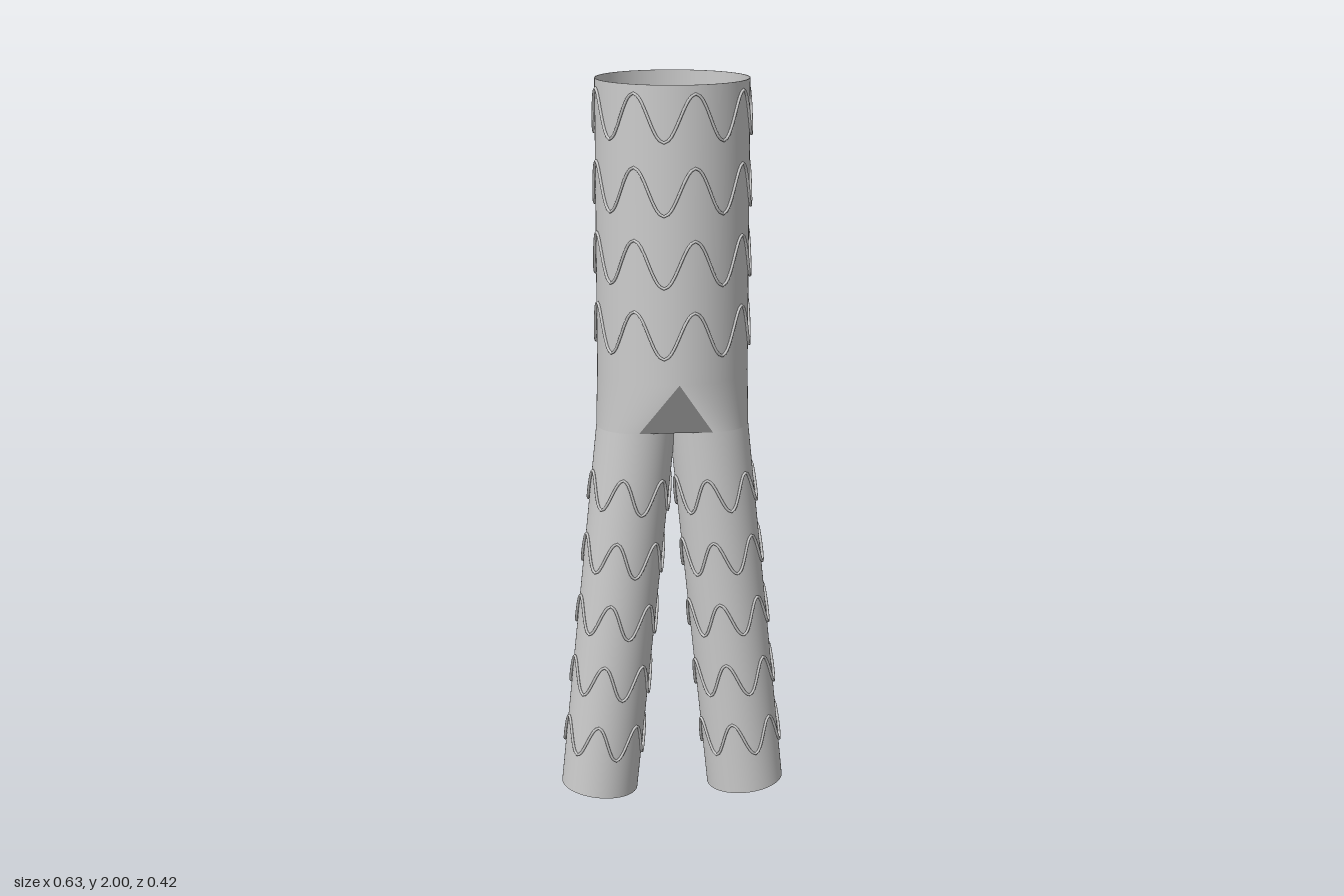
import * as THREE from 'three';

const R = 0.203, r = 0.1075;           // trunk and leg radii
const WALL = 0.003;                    // fabric thickness shown at the open rims
const TOP = 2, SHOULDER = 1.225, CROTCH = 1.07;
const HIP = 0.099, FOOT = 0.208;       // leg axis x at crotch and at foot
const FOOT_Y = 0.011;
const tilt = Math.atan2(FOOT - HIP, CROTCH - FOOT_Y);
const cosT = Math.cos(tilt), sinT = Math.sin(tilt);

// Surface between two rows of points
function loft(rowA, rowB, closed = false) {
  const n = rowA.length, index = [];
  for (let i = 0; i < (closed ? n : n - 1); i++) {
    const j = (i + 1) % n;
    index.push(i, j, n + i, j, n + j, n + i);
  }
  const g = new THREE.BufferGeometry().setFromPoints([...rowA, ...rowB]);
  g.setIndex(index);
  g.computeVertexNormals();
  return g;
}

// Point of the leg section in the horizontal crotch plane (side = 1 left, -1 right)
const hip = (a, side) =>
  new THREE.Vector3(side * (HIP + r / cosT * Math.cos(a)), CROTCH, r * Math.sin(a));

// Half cone from the trunk down to the leg, its normals blending into both
function shoulderGeometry(side) {
  const upper = [], lower = [], normals = [];
  for (let i = 0; i <= 48; i++) {
    const a = (i / 48 - 0.5) * Math.PI;
    upper.push(new THREE.Vector3(side * R * Math.cos(a), SHOULDER, R * Math.sin(a)));
    lower.push(hip(a, side));
    normals.push(Math.cos(a), 0, side * Math.sin(a));
  }
  const g = loft(upper, lower);
  g.setAttribute('normal', new THREE.Float32BufferAttribute([...normals, ...normals], 3));
  return g;
}

// Leg tube: square cut at the foot, trimmed on top by the crotch plane and the other leg
function legGeometry(side) {
  const top = [], foot = [], n = 96;
  for (let i = 0; i < n; i++) {
    const a = i / n * Math.PI * 2, c = r * Math.cos(a);
    const f = new THREE.Vector3(FOOT + c * cosT, FOOT_Y + c * sinT, r * Math.sin(a));
    const t = hip(a, 1);
    if (t.x < 0) t.lerp(f, -t.x / (f.x - t.x));
    t.x *= side;
    f.x *= side;
    top.push(t);
    foot.push(f);
  }
  return loft(top, foot, true);
}

// Flat ring closing the fabric thickness, lying square to the local y axis
const rimGeometry = radius =>
  new THREE.RingGeometry(radius - WALL, radius, 96).rotateX(-Math.PI / 2);

// Zigzag wire ring around the local y axis
function wireGeometry(radius, waves, amplitude, thickness) {
  const pts = [], n = waves * 12;
  for (let i = 0; i < n; i++) {
    const a = i / n * Math.PI * 2;
    pts.push(new THREE.Vector3(radius * Math.sin(a), amplitude * Math.sin(waves * a), radius * Math.cos(a)));
  }
  return new THREE.TubeGeometry(new THREE.CatmullRomCurve3(pts, true), n * 2, thickness, 8, true);
}

export function createModel() {
  const model = new THREE.Group();
  model.name = 'branchedStent';
  const grey = new THREE.MeshStandardMaterial({ color: 0xcccccc, side: THREE.DoubleSide });
  grey.name = 'light grey';
  const add = (name, geometry) => {
    const m = new THREE.Mesh(geometry, grey);
    m.name = name;
    model.add(m);
    return m;
  };

  // Trunk with four wire rings lying on its outside
  add('trunk', new THREE.CylinderGeometry(R, R, TOP - SHOULDER, 96, 1, true))
    .position.y = (TOP + SHOULDER) / 2;
  add('trunkRim', rimGeometry(R)).position.y = TOP;
  const trunkWire = wireGeometry(R + 0.004, 8, 0.061, 0.0038);
  for (let i = 0; i < 4; i++) add('trunkWire', trunkWire).position.y = 1.917 - i * 0.187;

  const legWire = wireGeometry(r + 0.004, 6, -0.048, 0.0038);
  for (const side of [1, -1]) {
    const label = side > 0 ? 'left' : 'right';
    add(label + 'Shoulder', shoulderGeometry(side));

    // Leg with its foot rim and five wire rings set square to its axis
    add(label + 'Leg', legGeometry(side));
    const rim = add(label + 'FootRim', rimGeometry(r));
    rim.position.set(side * FOOT, FOOT_Y, 0);
    rim.rotation.z = side * tilt;
    for (let i = 0; i < 5; i++) {
      const y = 0.89 - i * 0.179;
      const ring = add(label + 'LegWire', legWire);
      ring.position.set(side * (HIP + (CROTCH - y) * Math.tan(tilt)), y, 0);
      ring.rotation.z = side * tilt;
    }
  }

  // Flat gusset and crotch web between the legs, front and back
  for (const dir of [1, -1]) {
    const name = dir > 0 ? 'front' : 'back';
    const apex = new THREE.Vector3(0, SHOULDER, dir * R);
    const corners = [1, -1].map(s => hip(dir * Math.PI / 2, s));
    add(name + 'Gusset', loft([apex, apex.clone()], corners));

    const edge = [], arc = [], n = 40, w = r / cosT;
    for (let i = 0; i <= n; i++) {
      const x = HIP * (2 * i / n - 1);
      const z = r * Math.sqrt(1 - ((HIP - Math.abs(x)) / w) ** 2);
      edge.push(new THREE.Vector3(x, CROTCH, dir * r));
      arc.push(new THREE.Vector3(x, CROTCH, dir * z));
    }
    add(name + 'CrotchWeb', loft(edge, arc));
  }
  return model;
}
